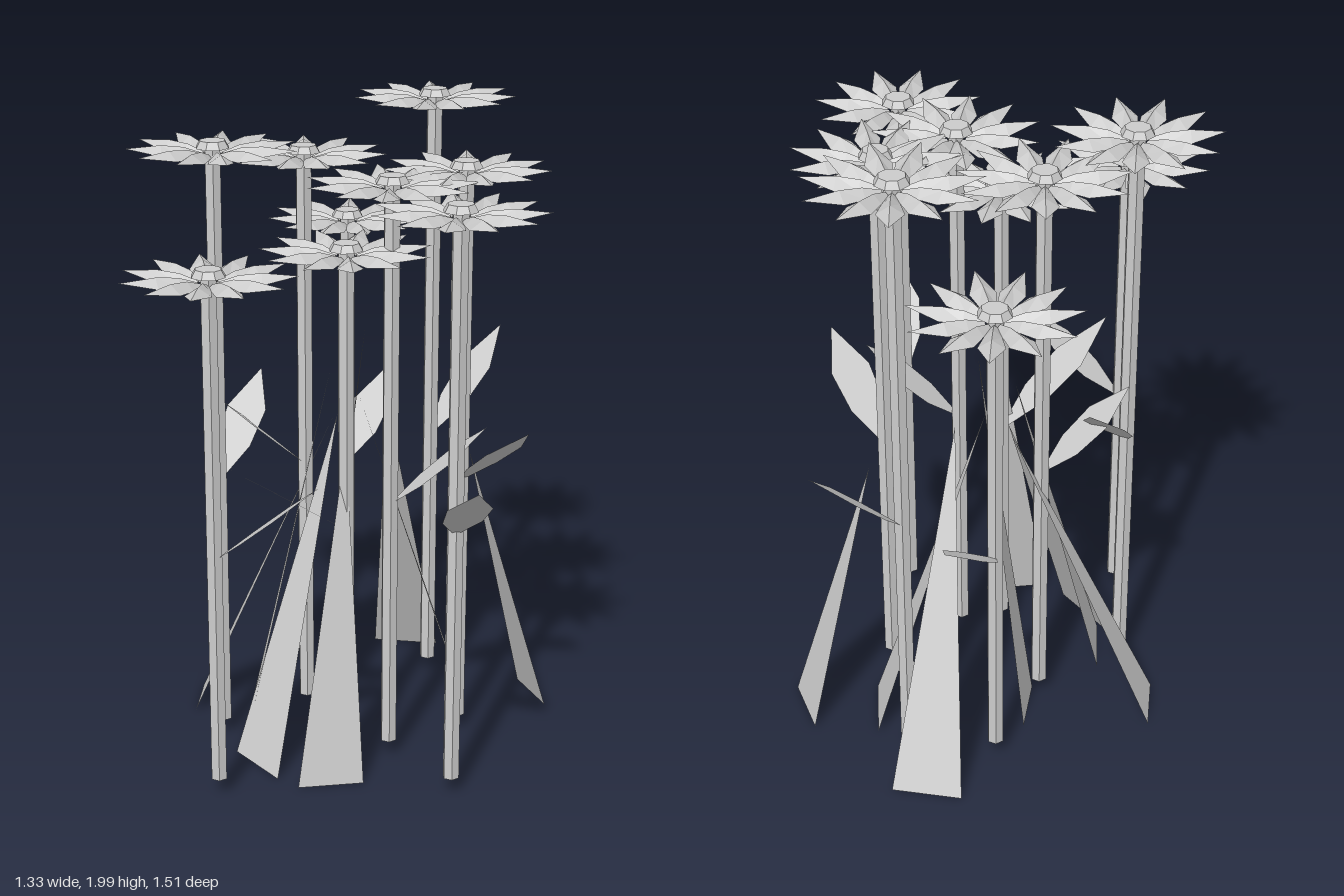
import * as THREE from 'three';

const grey = new THREE.MeshStandardMaterial({ color: 0xcccccc, flatShading: true, side: THREE.DoubleSide });
grey.name = 'plain grey';

// head x, z, petal height, direction of one petal, leaf start height, leaf tip [x, y, z]
const FLOWERS = [
  [0.035, -0.47, 1.575, -1.46, 0.75, [0.19, 0.98, -0.755]],
  [0.305, -0.43, 1.965, 0.19, 0.85, [0.56, 1.16, -0.63]],
  [-0.12, -0.18, 1.845, -1.51, 0.85, [-0.39, 1.1, -0.1]],
  [-0.395, -0.025, 1.895, 3.14, 0.86, [-0.25, 1.13, -0.31]],
  [0.35, 0.005, 1.83, -1.44, 0.85, [0.51, 1.10, 0.30]],
  [0.115, 0.165, 1.825, -1.65, 0.84, [0.40, 1.09, 0.20]],
  [-0.42, 0.375, 1.615, 0.06, 0.76, [-0.12, 1.03, 0.51]],
  [0.28, 0.425, 1.80, -0.42, 0.84, [0.30, 1.09, 0.755]],
  [-0.02, 0.19, 1.635, 1.57, 0.77, [-0.37, 1.05, 0.40]],
];

// two ground corners and tip of each grass blade
const BLADES = [
  [[0.15, 0, -0.68], [0.36, 0, -0.63], [0.14, 1.04, -0.2]],
  [[0.60, 0, -0.325], [0.66, 0, -0.13], [0.40, 0.88, -0.17]],
  [[0.40, 0, -0.36], [0.40, 0, -0.14], [0.05, 1.07, -0.19]],
  [[-0.06, 0, -0.36], [-0.10, 0, -0.17], [0.07, 1.28, -0.21]],
  [[-0.455, 0, -0.37], [-0.485, 0, -0.18], [-0.03, 1.0, -0.2]],
  [[-0.32, 0, -0.08], [-0.34, 0, 0.13], [-0.04, 1.17, -0.17]],
  [[-0.36, 0, 0.12], [-0.24, 0, 0.31], [-0.02, 1.02, -0.16]],
  [[-0.18, 0, 0.37], [0.02, 0, 0.355], [-0.02, 1.05, 0.18]],
];

// petal sections from root to tip: radius, half width, ridge height, edge height
const PETAL = [
  [0.03, 0.009, -0.012, -0.02],
  [0.085, 0.025, 0.006, -0.018],
  [0.15, 0.039, 0.012, -0.014],
  [0.255, 0, 0.003, 0.003],
];
const PETALS = 11;
const vec = (a) => new THREE.Vector3(...a);

function mesh(name, geometry) {
  const m = new THREE.Mesh(geometry, grey);
  m.name = name;
  return m;
}

function surface(points, index) {
  const g = new THREE.BufferGeometry().setFromPoints(points);
  g.setIndex(index);
  g.computeVertexNormals();
  return g;
}

// ring of pointed petals, each folded along a raised middle ridge
function petalGeometry() {
  const points = [], index = [];
  for (let i = 0; i < PETALS; i++) {
    const a = (i / PETALS) * Math.PI * 2, c = Math.cos(a), s = Math.sin(a);
    PETAL.forEach(([r, w, ridge, edge], row) => {
      const k = points.length;
      for (const [side, y] of [[0, ridge], [w, edge], [-w, edge]]) {
        points.push(new THREE.Vector3(r * c - side * s, y, r * s + side * c));
      }
      if (row) {
        index.push(k - 3, k - 2, k, k - 2, k + 1, k);
        index.push(k - 3, k, k - 1, k, k + 2, k - 1);
      }
    });
  }
  return surface(points, index);
}

// pointed leaf, widest beyond the middle, its width kept level
function leafGeometry(start, tip) {
  const along = tip.clone().sub(start);
  const side = new THREE.Vector3(along.z, 0, -along.x).normalize();
  const points = [], index = [];
  [[0, 0.004], [0.32, 0.058], [0.64, 0.066], [1, 0]].forEach(([t, w], row) => {
    const c = start.clone().addScaledVector(along, t);
    points.push(c.clone().addScaledVector(side, w), c.clone().addScaledVector(side, -w));
    const k = 2 * row;
    if (row) index.push(k - 2, k - 1, k, k - 1, k + 1, k);
  });
  return surface(points, index);
}

export function createModel() {
  const model = new THREE.Group();
  model.name = 'flowerPatch';
  const petals = petalGeometry();
  const button = new THREE.CylinderGeometry(0.039, 0.052, 0.022, 8);

  for (const [x, z, y, turn, leafY, tip] of FLOWERS) {
    const flower = new THREE.Group();
    flower.name = 'flower';

    const stem = mesh('stem', new THREE.CylinderGeometry(0.026, 0.026, y - 0.05, 6));
    stem.position.set(x, (y + 0.05) / 2, z);

    const head = mesh('petals', petals);
    head.position.set(x, y, z);
    head.rotation.y = -turn;

    const centre = mesh('flowerCentre', button);
    centre.position.set(x, y + 0.014, z);
    centre.rotation.y = Math.PI / 8;

    const leaf = mesh('stemLeaf', leafGeometry(new THREE.Vector3(x, leafY, z), vec(tip)));
    flower.add(stem, head, centre, leaf);
    model.add(flower);
  }

  // tall triangular blades leaning in towards the middle
  for (const corners of BLADES) {
    model.add(mesh('grassBlade', surface(corners.map(vec), [0, 1, 2])));
  }
  return model;
}
